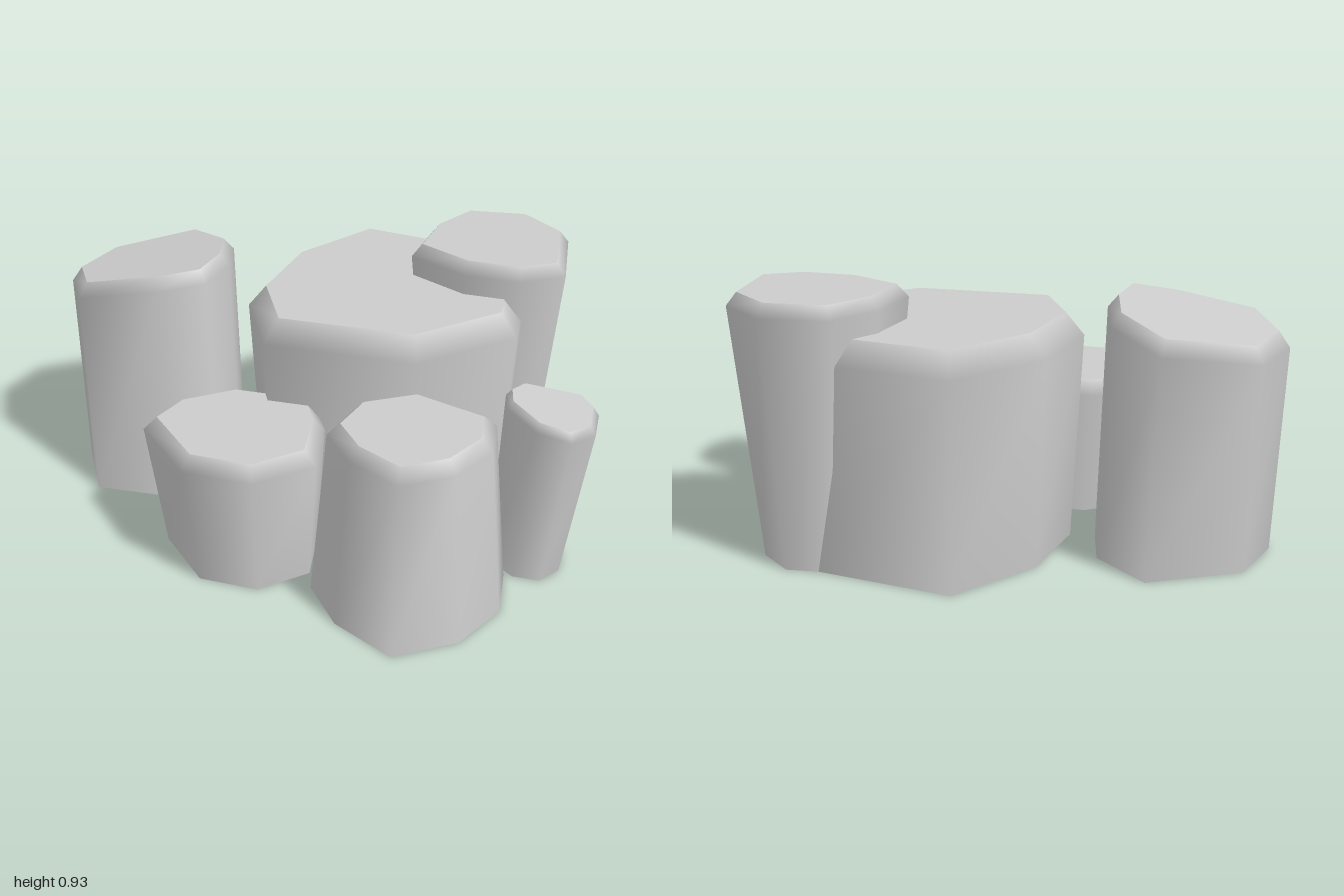
import * as THREE from 'three';

const material = new THREE.MeshStandardMaterial({ color: 0xcccccc, side: THREE.DoubleSide });

// Moves every edge of a ring inwards by d
function insetRing(ring, d) {
  const n = ring.length;
  const normals = ring.map((p, i) => {
    const e = ring[(i + 1) % n].clone().sub(p).normalize();
    return new THREE.Vector2(-e.y, e.x);
  });
  return ring.map((p, i) => {
    const a = normals[(i + n - 1) % n], b = normals[i];
    return a.clone().add(b).multiplyScalar(d / (1 + a.dot(b))).add(p);
  });
}

function makeMesh(name, positions, index) {
  const g = new THREE.BufferGeometry();
  g.setAttribute('position', new THREE.Float32BufferAttribute(positions, 3));
  g.setIndex(index);
  g.computeVertexNormals();
  const mesh = new THREE.Mesh(g, material);
  mesh.name = name;
  return mesh;
}

// A rock from its shoulder outline (x, z pairs). The foot is the outline scaled
// and shifted, the cap is the outline inset; slopeX and slopeZ tilt the cap.
function makeRock(name, outline, { height, drop, inset, foot, shiftX = 0, shiftZ = 0, slopeX = 0, slopeZ = 0 }) {
  const shoulder = [];
  for (let i = 0; i < outline.length; i += 2) shoulder.push(new THREE.Vector2(outline[i], outline[i + 1]));
  const n = shoulder.length;
  const centre = new THREE.Box2().setFromPoints(shoulder).getCenter(new THREE.Vector2());
  const shift = new THREE.Vector2(shiftX, shiftZ);
  const capY = (p) => height + slopeX * (p.x - centre.x) + slopeZ * (p.y - centre.y);

  const base = shoulder.map((p) => p.clone().sub(centre).multiplyScalar(foot).add(centre).add(shift));
  const low = base.flatMap((p) => [p.x, 0.01, p.y]);
  const bend = shoulder.flatMap((p) => [p.x, capY(p) - drop, p.y]);
  const rim = insetRing(shoulder, inset).flatMap((p) => [p.x, capY(p), p.y]);

  // Walls and bevel share vertices and shade smoothly; the foot is open
  const index = [];
  for (let r = 0; r < 2; r++) {
    for (let i = 0; i < n; i++) {
      const a = r * n + i, b = r * n + ((i + 1) % n);
      index.push(b, a, a + n, b, a + n, b + n);
    }
  }

  // Flat cap with a hard rim
  const capIndex = [];
  for (let i = 1; i < n - 1; i++) capIndex.push(0, i + 1, i);

  const group = new THREE.Group();
  group.name = name;
  group.add(makeMesh('walls', [...low, ...bend, ...rim], index), makeMesh('flatTop', rim, capIndex));
  return group;
}

export function createModel() {
  const model = new THREE.Group();
  model.name = 'rockCluster';

  model.add(makeRock('leftSlantedRock',
    [-0.62, -0.6, -0.43, -0.42, -0.39, -0.22, -0.42, -0.03, -0.59, 0.02, -0.89, 0.02, -1, -0.2, -0.93, -0.44],
    { height: 0.846, drop: 0.05, inset: 0.036, foot: 1, shiftX: 0.04, shiftZ: 0.05, slopeX: 0.19, slopeZ: 0.07 }));

  model.add(makeRock('largeCentreRock',
    [0, -0.835, 0.55, -0.72, 0.685, -0.24, 0.685, -0.11, 0.38, 0.165, -0.165, 0.145, -0.3, -0.155, -0.24, -0.51],
    { height: 0.82, drop: 0.08, inset: 0.062, foot: 0.92 }));

  model.add(makeRock('lowFrontRock',
    [-0.55, 0.345, -0.485, 0.17, -0.3, 0.04, 0, 0.05, 0.07, 0.21, 0.095, 0.45, -0.085, 0.61, -0.335, 0.59],
    { height: 0.515, drop: 0.05, inset: 0.042, foot: 0.85, shiftX: 0.02 }));

  model.add(makeRock('taperedFrontRock',
    [0.395, 0.21, 0.68, 0.325, 0.69, 0.5, 0.6, 0.665, 0.43, 0.77, 0.25, 0.66, 0.145, 0.51, 0.2, 0.32],
    { height: 0.675, drop: 0.045, inset: 0.04, foot: 1.2 }));

  model.add(makeRock('tallBackRock',
    [0.4, -0.78, 0.64, -0.795, 0.805, -0.64, 0.825, -0.32, 0.675, -0.235, 0.47, -0.25, 0.26, -0.375, 0.295, -0.605],
    { height: 0.94, drop: 0.045, inset: 0.033, foot: 0.7, shiftZ: 0.01 }));

  model.add(makeRock('smallRightRock',
    [0.73, 0.06, 0.94, 0.025, 1, 0.1, 1, 0.24, 0.93, 0.335, 0.81, 0.33, 0.7, 0.23, 0.685, 0.14],
    { height: 0.647, drop: 0.03, inset: 0.02, foot: 0.82, shiftX: -0.055, shiftZ: -0.015, slopeX: -0.2 }));

  return model;
}
